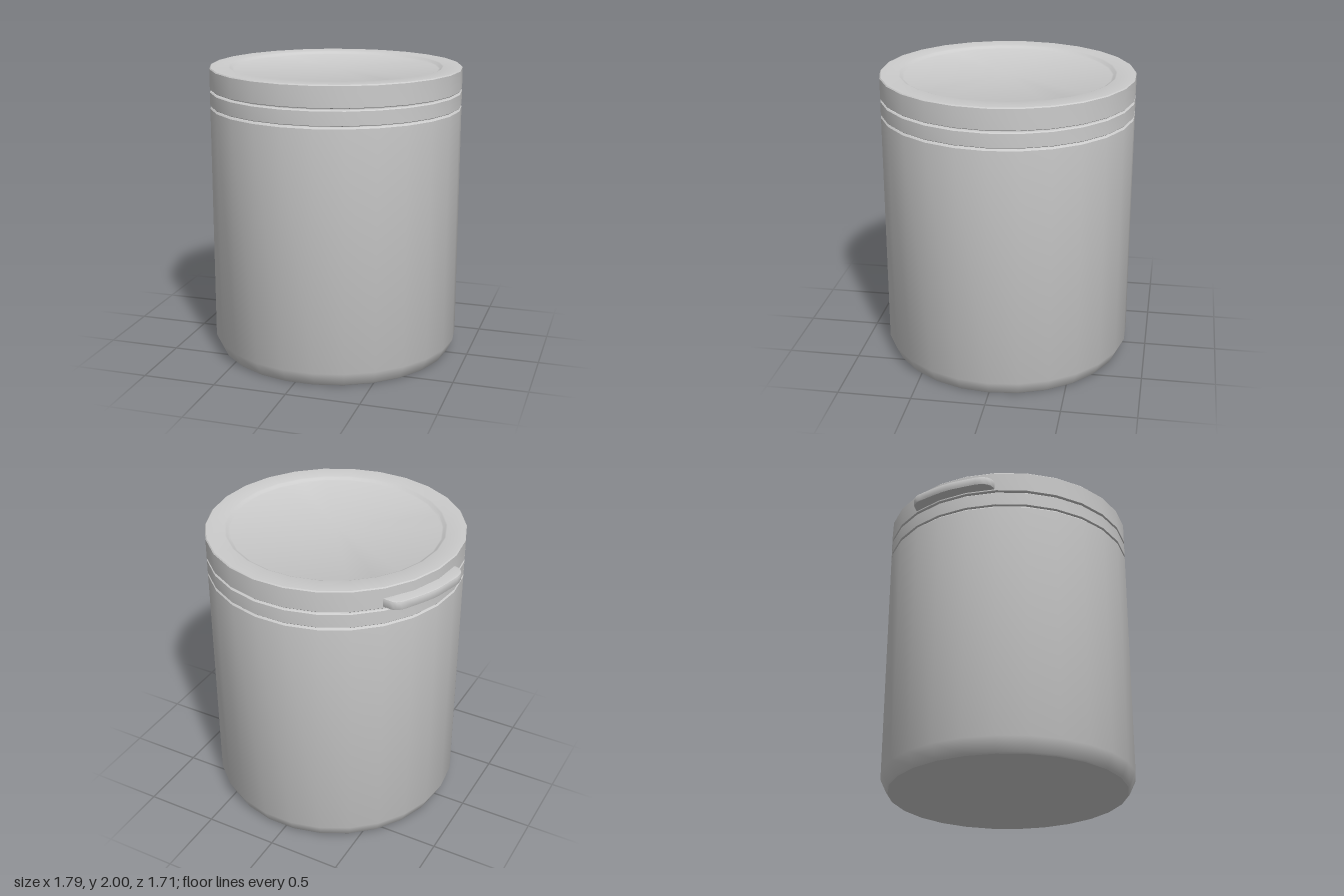
import * as THREE from 'three';
import { toCreasedNormals } from 'three/addons/utils/BufferGeometryUtils.js';

const SIDES = 26;
const AXIS_X = 0.035; // the side tab shifts the jar slightly off centre

export function createModel() {
  const model = new THREE.Group();
  model.name = 'jar';
  const material = new THREE.MeshStandardMaterial({ color: 0xcccccc });

  function add(name, geometry, crease = 0.6) {
    const mesh = new THREE.Mesh(toCreasedNormals(geometry, crease), material);
    mesh.name = name;
    model.add(mesh);
    return mesh;
  }

  // Turned part from [radius, height] pairs, with a corner pointing to +x
  function turned(name, profile) {
    const points = profile.map(([r, y]) => new THREE.Vector2(r, y));
    const mesh = add(name, new THREE.LatheGeometry(points, SIDES, Math.PI / 2));
    mesh.position.x = AXIS_X;
  }

  // Body with chamfered foot, soft shoulder and a neck hidden under the lid
  turned('body', [
    [0, 0], [0.808, 0], [0.818, 0.01], [0.86, 0.1], [0.86, 1.725],
    [0.85, 1.736], [0.83, 1.736], [0.83, 1.86],
  ]);

  // Tamper ring between the two grooves
  turned('sealRing', [
    [0.82, 1.742], [0.856, 1.742], [0.86, 1.746], [0.86, 1.836],
    [0.852, 1.843], [0.82, 1.843],
  ]);

  // Lid with a raised rim around a shallow recessed panel
  turned('lid', [
    [0.8, 1.853], [0.856, 1.853], [0.86, 1.857], [0.86, 1.993], [0.853, 2],
    [0.732, 2], [0.722, 1.996], [0.708, 1.984], [0.698, 1.98], [0, 1.98],
  ]);

  // Pull tab on the side of the lid; drawn in x and z, then laid flat
  const outline = new THREE.Shape();
  outline.moveTo(-0.6, 0.57);
  outline.lineTo(-0.64, 0.575);
  outline.quadraticCurveTo(-0.695, 0.585, -0.725, 0.53);
  outline.quadraticCurveTo(-0.83, 0.36, -0.85, 0.27);
  outline.lineTo(-0.885, 0.13);
  outline.quadraticCurveTo(-0.9, 0.03, -0.82, 0.015);
  outline.lineTo(-0.78, 0.02);
  outline.lineTo(-0.68, 0.36);
  outline.closePath();
  const tab = new THREE.ExtrudeGeometry(outline, {
    depth: 0.044, bevelThickness: 0.008, bevelSize: 0.008, bevelSegments: 2, curveSegments: 6,
  });
  tab.rotateX(-Math.PI / 2);
  add('pullTab', tab, 0.7).position.y = 1.873;

  return model;
}
